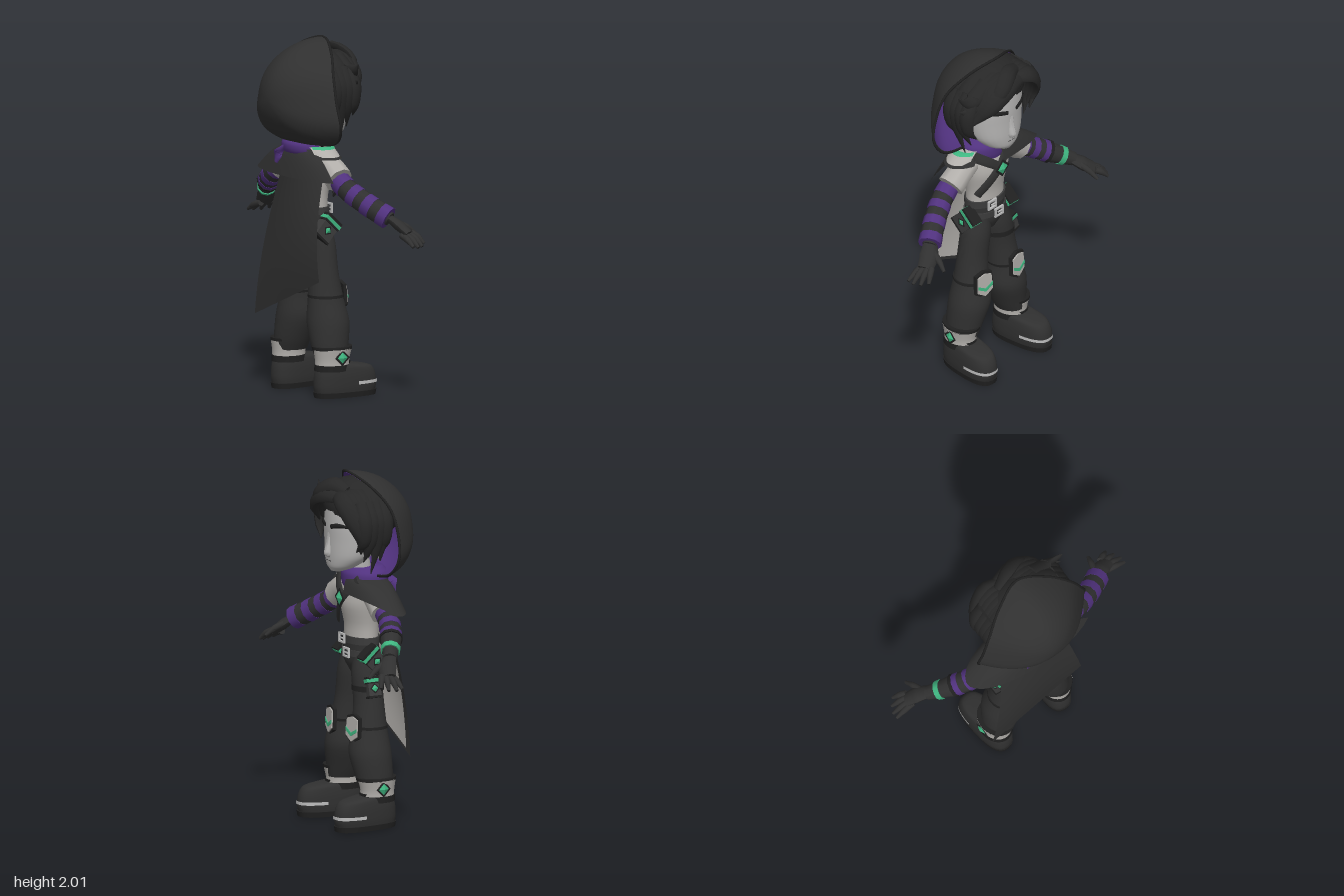
import * as THREE from 'three';
import { toCreasedNormals } from 'three/addons/utils/BufferGeometryUtils.js';

const V = (x, y, z) => new THREE.Vector3(x, y, z);
const mat = (name, color, side = THREE.FrontSide) => Object.assign(new THREE.MeshStandardMaterial({ color, side }), { name });

export function createModel() {
  const cloth = mat('charcoal cloth', 0x303030, THREE.DoubleSide), hairM = mat('black hair', 0x272727);
  const trim = mat('black trim', 0x202020), leather = mat('dark leather', 0x3b3b3b);
  const purple = mat('purple', 0x51327f, THREE.DoubleSide), skin = mat('pale grey skin', 0xb4b3b2);
  const light = mat('light grey fabric', 0xb2afab, THREE.DoubleSide), green = mat('green', 0x3fb580, THREE.DoubleSide);
  const metal = mat('silver', 0xbcbcbc);

  const model = new THREE.Group();
  model.rotation.y = Math.PI / 2; // built facing +z, turned to its heading
  let parent = model;
  const group = (name, x, y, z) => {
    parent = new THREE.Group();
    parent.name = name;
    parent.position.set(x, y, z);
    model.add(parent);
    return parent;
  };
  const add = (name, geo, m, x = 0, y = 0, z = 0) => {
    const mesh = new THREE.Mesh(geo, m);
    mesh.name = name;
    mesh.position.set(x, y, z);
    parent.add(mesh);
    return mesh;
  };
  const box = (name, m, w, h, d, x, y, z) => add(name, new THREE.BoxGeometry(w, h, d), m, x, y, z);

  // Surface from a rule f(u, v)
  const grid = (name, m, nu, nv, f, flip = false) => {
    const pos = [], idx = [];
    for (let i = 0; i <= nu; i++) for (let j = 0; j <= nv; j++) pos.push(...f(i / nu, j / nv).toArray());
    for (let i = 0; i < nu; i++) for (let j = 0; j < nv; j++) {
      const a = i * (nv + 1) + j, b = a + nv + 1;
      idx.push(...(flip ? [a, a + 1, b, b, a + 1, b + 1] : [a, b, a + 1, b, b + 1, a + 1]));
    }
    const g = new THREE.BufferGeometry();
    g.setAttribute('position', new THREE.Float32BufferAttribute(pos, 3));
    g.setIndex(idx);
    return add(name, toCreasedNormals(g, 0.9), m);
  };

  // Upright body through rings [x, y, z, rx, rz], bottom to top
  const loft = (name, m, rings, p = 1, a0 = 0, a1 = Math.PI * 2) => {
    const c = new THREE.CatmullRomCurve3(rings.map(r => V(r[0], r[1], r[2])), false, 'catmullrom', 0.4);
    const r = new THREE.CatmullRomCurve3(rings.map(q => V(q[3], q[4], 0)), false, 'catmullrom', 0.4);
    const n = (rings.length - 1) * 4, cap = a1 - a0 > 6, e = k => Math.sign(k) * Math.abs(k) ** p;
    return grid(name, m, cap ? n + 2 : n, 28, (u, v) => {
      const i = cap ? Math.round(u * (n + 2)) - 1 : Math.round(u * n);
      const t = Math.min(Math.max(i / n, 0), 1), s = i < 0 || i > n ? 0 : 1;
      const o = c.getPoint(t), q = r.getPoint(t), a = a0 + (a1 - a0) * v;
      return V(o.x + s * q.x * e(Math.cos(a)), o.y, o.z + s * q.y * e(Math.sin(a)));
    });
  };

  // Tapered tube along points; flat < 1 squashes it towards the centre
  const limb = (name, m, pts, radii, flat = 1, centre = V(0, 1.72, 0), seg = 10) => {
    const c = new THREE.CatmullRomCurve3(pts.map(p => V(...p)));
    return grid(name, m, seg + 2, 10, (u, v) => {
      const i = Math.round(u * (seg + 2)) - 1, t = Math.min(Math.max(i / seg, 0), 1);
      const k = t * (radii.length - 1), k0 = Math.min(Math.floor(k), radii.length - 2);
      const r = i < 0 || i > seg ? 0 : THREE.MathUtils.lerp(radii[k0], radii[k0 + 1], k - k0);
      const o = c.getPoint(t), T = c.getTangent(t), out = o.clone().sub(centre);
      out.addScaledVector(T, -out.dot(T)).normalize();
      const side = T.clone().cross(out), a = v * Math.PI * 2;
      return o.addScaledVector(side, r * Math.cos(a)).addScaledVector(out, r * flat * Math.sin(a));
    });
  };
  const plate = (name, m, pts, depth, x, y, z, hole) => {
    const s = new THREE.Shape(pts.map(p => new THREE.Vector2(...p)));
    if (hole) s.holes.push(new THREE.Path(hole.map(p => new THREE.Vector2(...p))));
    return add(name, new THREE.ExtrudeGeometry(s, { depth, bevelEnabled: false }), m, x, y, z);
  };
  const rect = (w, h) => [[-w, -h], [w, -h], [w, h], [-w, h]];
  const gem = (name, r, x, y, z, ry = 0) => [[trim, 1.25, 0.15], [green, 1, 0.4]].forEach(([m, k, d]) => {
    const g = add(name, new THREE.OctahedronGeometry(r * k), m, x, y, z);
    g.scale.z = d;
    g.rotation.y = ry;
  });

  // Head
  loft('head', skin, [[0, 1.44, .15, .04, .035], [0, 1.47, .12, .105, .08], [0, 1.53, .08, .16, .125], [0, 1.62, .05, .185, .155],
    [0, 1.72, .04, .192, .165], [0, 1.85, .03, .17, .155], [0, 1.93, .03, .05, .05]]);
  loft('nose', skin, [[0, 1.515, .19, .012, .01], [0, 1.54, .196, .024, .036], [0, 1.6, .192, .02, .025], [0, 1.68, .185, .02, .018]]);
  loft('neck', skin, [[0, 1.34, 0, .07, .07], [0, 1.52, .03, .07, .07]]);
  box('mouth', leather, .05, .004, .006, 0, 1.5, .2);
  for (const s of [-1, 1]) {
    add('ear', new THREE.SphereGeometry(.045, 14, 10), skin, s * .195, 1.58, 0).scale.set(.5, 1.2, .8);
    limb('eyebrow', trim, [[s * .035, 1.7, .208], [s * .09, 1.712, .192], [s * .155, 1.708, .145]], [.013, .014, .006], .5);
  }

  // Hair: tilted cap, swept fringe and hanging side locks
  const cap = add('hairCap', new THREE.SphereGeometry(1, 24, 16), hairM, 0, 1.785, -.005);
  cap.scale.set(.25, .175, .21);
  cap.rotation.x = -.3;
  for (let i = 0; i < 6; i++) {
    const k = i / 5;
    limb('fringeLock', hairM, [[.1 - .03 * k, 1.87 + .05 * k, .19 - .17 * k], [-.05 - .03 * k, 1.87 + .05 * k, .215 - .16 * k],
      [-.17 - .05 * k, 1.8 + .04 * k, .2 - .15 * k], [-.25 - .03 * k, 1.68 + .04 * k, .13 - .12 * k]], [.03, .058, .055, .006], .55);
    limb('sweptLock', hairM, [[.06, 1.88 + .04 * k, .19 - .17 * k], [.15, 1.87 + .03 * k, .2 - .17 * k], [.23 + .02 * k, 1.78, .175 - .16 * k],
      [.265, 1.67, .13 - .13 * k], [.23, 1.57 - .05 * k, .12 - .12 * k]], [.03, .052, .052, .042, .004], .5);
  }
  for (let i = 0; i < 4; i++) {
    const z = .12 - i * .045, low = [1.58, 1.52, 1.45, 1.55][i];
    for (const s of [-1, 1])
      limb('sideLock', hairM, [[s * .22, 1.86, z], [s * .275, 1.76, z], [s * .265, 1.64, z], [s * .215, low, z + .02]], [.035, .045, .036, .003], .5);
  }
  limb('wispLock', hairM, [[-.12, 1.9, .12], [-.24, 1.84, .12], [-.29, 1.855, .11], [-.325, 1.89, .1]], [.05, .045, .022, .002], .5);
  limb('lowerWisp', hairM, [[-.2, 1.82, .13], [-.27, 1.78, .12], [-.315, 1.79, .1]], [.04, .03, .002], .5);
  limb('frontTuft', hairM, [[.1, 1.91, .14], [0, 1.935, .18], [-.1, 1.88, .22], [-.19, 1.77, .19]], [.03, .05, .045, .003], .5);

  // Hood: teardrop rim swept back to a ridged crown
  const half = [[0, 2, .09], [.16, 1.94, .03], [.28, 1.82, -.04], [.34, 1.67, -.06], [.365, 1.55, -.05], [.31, 1.46, -.03], [.17, 1.42, -.03], [0, 1.41, -.04]];
  const rim = new THREE.CatmullRomCurve3([...half, ...half.slice(1, -1).reverse().map(p => [-p[0], p[1], p[2]])].map(p => V(...p)), true);
  const hood = (k, dz) => (u, v) => {
    const r = rim.getPoint(v % 1), a = u * Math.PI / 2;
    return V(r.x * k * (.8 * u + .2 * Math.sin(a)), 1.68 + (r.y - 1.68) * k * Math.sin(a), -.29 + dz + (r.z - dz + .29) * (1 - Math.cos(a)));
  };
  grid('hood', cloth, 14, 56, hood(1, 0));
  grid('hoodLining', purple, 14, 56, hood(.97, .02), true);
  add('hoodRim', new THREE.TubeGeometry(rim, 64, .008, 6, true), trim);

  // Scarf, shirt and waist
  loft('scarf', purple, [[0, 1.34, .01, .1, .09], [0, 1.37, -.02, .145, .125], [0, 1.42, -.025, .145, .13], [0, 1.455, -.02, .11, .1]]);
  limb('scarfTail', purple, [[.05, 1.4, -.13], [.08, 1.36, -.15], [.1, 1.3, -.16]], [.02, .035, .01], .4);
  loft('shirt', light, [[0, 1.01, 0, .125, .085], [0, 1.12, 0, .128, .085], [0, 1.24, .01, .152, .095], [0, 1.33, 0, .165, .085], [0, 1.4, -.01, .1, .07]]);
  loft('hips', cloth, [[0, .85, 0, .05, .06], [0, .92, 0, .125, .09], [0, 1.02, 0, .13, .09]]);
  loft('upperBelt', leather, [[0, 1.02, 0, .136, .094], [0, 1.06, 0, .136, .094]]);
  loft('lowerBelt', leather, [[0, .95, 0, .14, .098], [0, .985, 0, .14, .098]]);
  for (const [x, y] of [[-.045, 1.04], [.01, .967]]) {
    plate('buckle', metal, rect(.034, .028), .012, x, y, .092, rect(.024, .018));
    box('bucklePin', metal, .04, .007, .008, x + .01, y, .102);
  }
  const chest = V(0, 1.25, 0);
  limb('chestStrap', cloth, [[-.14, 1.13, .07], [-.07, 1.21, .105], [0, 1.28, .115], [.12, 1.4, .08]], [.03, .03, .03, .03], .3, chest);
  limb('collarStrap', cloth, [[-.15, 1.39, .06], [-.08, 1.34, .1], [0, 1.28, .117]], [.03, .028, .025], .3, chest);
  gem('claspGem', .046, 0, 1.28, .135);

  // Shoulder cloth and shoulder pad
  const drape = (name, m, s, a0, a1, top, hem, bulge, lift = 0) => grid(name, m, 8, 20, (u, v) => {
    const a = THREE.MathUtils.lerp(a0, a1, v), c = Math.cos(a), z = Math.sin(a);
    const L = (p, q) => THREE.MathUtils.lerp(p, q, u);
    return V(s * L(top[0], hem[0]) * c, L(top[1], hem[1]) + bulge * Math.sin(u * Math.PI) + lift * u * Math.max(0, z), L(top[2], hem[2]) * z - .02);
  });
  drape('shoulderCape', cloth, 1, -2.6, 1.5, [.12, 1.4, .1], [.42, 1.235, .15], .03, .08);
  drape('padEdge', cloth, -1, -.9, .9, [.13, 1.4, .1], [.28, 1.35, .13], .015);
  drape('shoulderPad', light, -1, -.75, .75, [.13, 1.41, .1], [.265, 1.362, .12], .015);
  drape('padStripe', green, -1, -.75, .75, [.185, 1.413, .105], [.22, 1.4, .11], .003);

  // Long slanted cape with pale lining
  const cape = (name, m, u0, v0, dz) => grid(name, m, 12, 12, (a, b) => {
    const u = a * u0, v = v0 + b * (1 - 2 * v0), L = THREE.MathUtils.lerp;
    return V(L(L(-.19, -.28, u), L(.2, .33, u), v), 1.27 + u * L(-.6, -.86, v),
      -.09 - .06 * Math.sin(u * 2.2) + .05 * (2 * v - 1) ** 2 * (1 - u) + dz);
  });
  cape('cape', cloth, 1, 0, 0);
  cape('capeLining', light, .965, .05, .009);

  // Arms, striped sleeves and gloves
  for (const s of [-1, 1]) {
    const under = V(.4 * s, 0, -.3);
    const arm = new THREE.CatmullRomCurve3([V(.17, 1.32, 0), V(.33, 1.205, 0), V(.46, 1.125, .05), V(.59, 1.045, .125)]);
    const part = (name, m, t0, t1, r0, r1) => limb(name, m,
      [0, .5, 1].map(k => { const p = arm.getPoint(t0 + (t1 - t0) * k); return [p.x * s, p.y, p.z]; }), [r0, r1], 1, under);
    limb('shortSleeve', light, [[s * .1, 1.325, 0], [s * .19, 1.295, 0], [s * .28, 1.235, 0]], [.06, .074, .08], 1, under);
    const [count, start, step] = s < 0 ? [7, .25, .104] : [5, .22, .088];
    for (let i = 0; i < count; i++) {
      const t = start + i * step, r = (i % 2 ? .058 : .06) + t * .006;
      part(i % 2 ? 'darkBand' : 'purpleBand', i % 2 ? cloth : purple, t, Math.min(t + step + .002, 1), r, r + .001);
    }
    part('glove', cloth, s < 0 ? .93 : .66, 1.0, s < 0 ? .045 : .062, .04);
    if (s > 0) {
      part('gloveRing', green, .82, .88, .057, .054);
      part('gloveCuff', trim, .64, .68, .067, .067);
    }
    limb('palm', cloth, [[s * .57, 1.06, .115], [s * .63, 1.01, .16], [s * .69, .965, .185]], [.038, .054, .044], .55, under);
    for (const [b, e] of [[[.67, .96, .15], [.785, .91, .145]], [[.68, .965, .17], [.785, .905, .18]], [[.68, .965, .195], [.765, .905, .22]], [[.67, .97, .215], [.735, .915, .255]], [[.6, 1.02, .17], [.63, .955, .275]]])
      limb('finger', cloth, [[s * b[0], b[1], b[2]], [s * (b[0] + e[0]) / 2, (b[1] + e[1]) / 2 + .008, (b[2] + e[2]) / 2], [s * e[0], e[1], e[2]]], [.019, .018, .009], 1, under);
  }

  // Belt and thigh pouches
  const pouch = (s, x, y, z, w, h, tilt, lean) => {
    group('pouch', s * x, y, z).rotation.set(tilt, 0, lean);
    box('pouchBody', leather, .06, h, w, 0, 0, 0);
    box('pouchFlap', trim, .068, h * .35, w + .01, 0, h * .36, 0);
    box('pouchStripe', green, .072, .02, w + .014, 0, h * .34, 0);
    box('pouchBase', trim, .064, .012, w + .006, 0, -h / 2, 0);
    gem('pouchGem', .024, s * .032, -h * .08, 0, Math.PI / 2);
    parent = model;
  };
  for (const s of [-1, 1]) pouch(s, .152, .945, .0, .105, .135, .75, 0);
  pouch(1, .175, .79, .02, .075, .11, 0, .3);
  loft('thighStrap', trim, [[.1, .765, .01, .094, .09], [.1, .795, .01, .094, .09]]);

  // Legs, knee pads, spats and boots
  for (const s of [-1, 1]) {
    loft('trouserLeg', cloth, [[s * .19, .22, .01, .08, .095], [s * .175, .29, .01, .1, .108], [s * .145, .42, .02, .12, .12],
      [s * .13, .55, .015, .098, .1], [s * .11, .7, .01, .09, .085], [s * .085, .85, .01, .088, .085], [s * .07, .95, 0, .07, .08]]);
    loft('kneeSeam', trim, [[s * .132, .555, .015, .1, .102], [s * .13, .57, .015, .1, .102]]);
    group('kneePad', s * .135, .555, .11).rotation.set(-.06, s * .15, 0);
    const pad = k => [[-.05, .06], [-.055, -.04], [0, -.075], [.055, -.04], [.05, .06], [0, .075]].map(p => [p[0] * k, p[1] * k]);
    plate('padBack', trim, pad(1.15), .02, 0, 0, -.005);
    plate('padFace', light, pad(.95), .008, 0, 0, .015);
    plate('padChevron', green, [[-.05, .007], [-.05, -.012], [0, -.04], [.05, -.012], [.05, .007], [0, -.021]], .004, 0, 0, .023);
    group('foot', s * .205, 0, 0).rotation.y = s * .1;
    loft('spat', light, [[0, .15, .005, .083, .1], [0, .21, .005, .083, .1], [0, .275, .008, .094, .112]]);
    loft('spatTop', trim, [[-s * .005, .27, .008, .098, .116], [-s * .008, .287, .008, .1, .118]]);
    loft('spatBottom', trim, [[0, .15, .005, .087, .104], [0, .185, .005, .086, .103]]);
    gem('spatGem', .038, s * .09, .23, .02, Math.PI / 2);
    plate('spatPoint', trim, [[-.035, .03], [0, -.02], [.035, .03]], .01, 0, .17, .095);
    loft('boot', cloth, [[0, .015, .085, .078, .18], [0, .06, .087, .084, .19], [0, .12, .085, .084, .185], [0, .165, .075, .078, .165], [0, .185, .03, .07, .11]], .75);
    loft('sole', trim, [[0, 0, .087, .08, .187], [0, .03, .087, .084, .192]], .75);
    loft('toeStripe', metal, [[0, .07, .089, .087, .193], [0, .088, .089, .087, .193]], .75, .12, Math.PI - .12);
    parent = model;
  }

  const root = new THREE.Group();
  root.name = 'hoodedFigure';
  root.add(model);
  return root;
}
